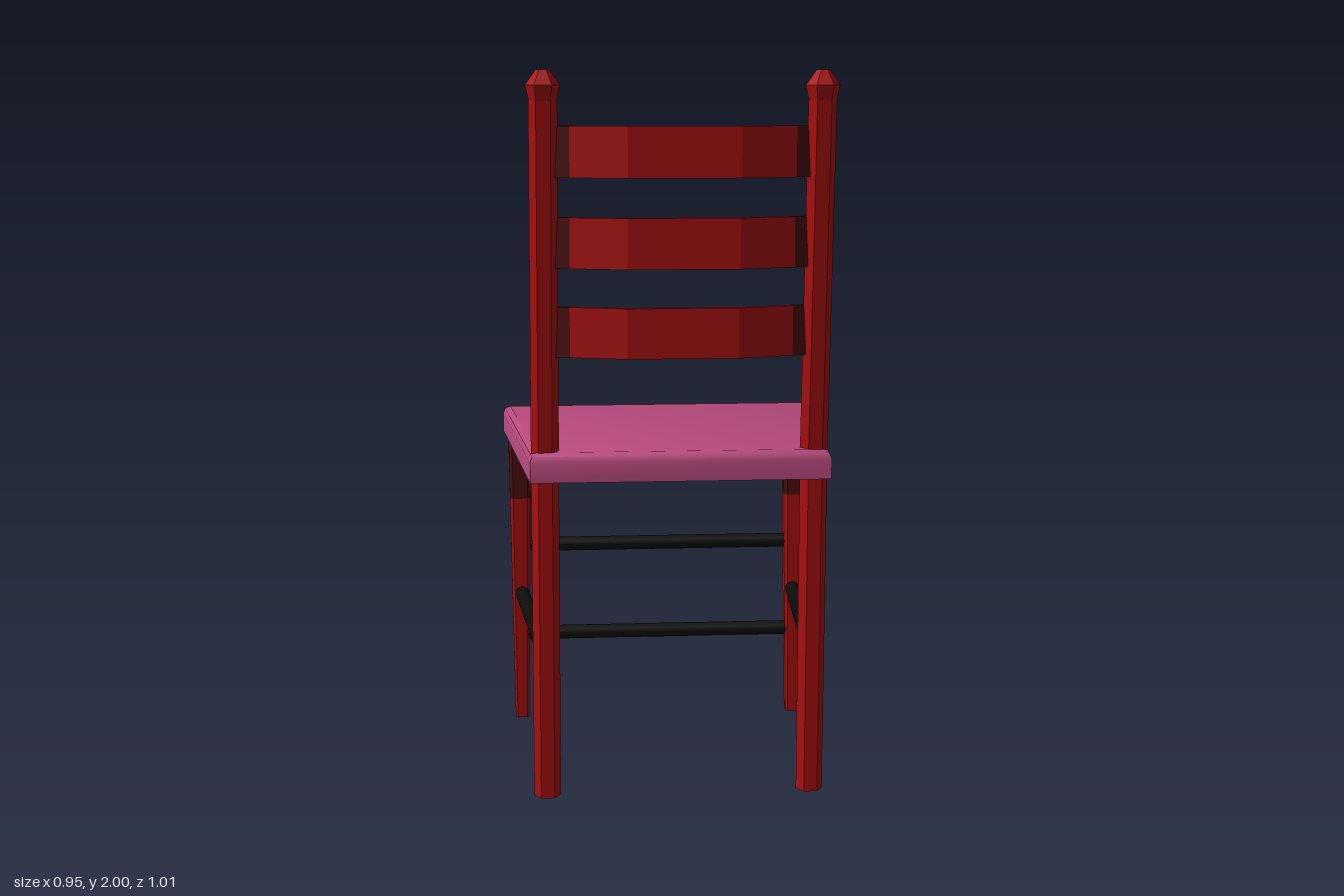
import * as THREE from 'three';
import { toCreasedNormals } from 'three/addons/utils/BufferGeometryUtils.js';

const mat = (name, color) => {
  const m = new THREE.MeshStandardMaterial({ color });
  m.name = name;
  return m;
};

// Closed solid through rings of [x, y, z] corners, listed bottom to top,
// each ring counter-clockwise seen from above.
function loft(rings) {
  const pos = [];
  const tri = (a, b, c) => pos.push(...a, ...b, ...c);
  const n = rings[0].length;
  for (let r = 0; r < rings.length - 1; r++) {
    const lo = rings[r], hi = rings[r + 1];
    for (let i = 0; i < n; i++) {
      const j = (i + 1) % n;
      tri(lo[i], lo[j], hi[j]);
      tri(lo[i], hi[j], hi[i]);
    }
  }
  const bottom = rings[0], top = rings[rings.length - 1];
  for (let i = 1; i < n - 1; i++) {
    tri(top[0], top[i], top[i + 1]);
    tri(bottom[0], bottom[i + 1], bottom[i]);
  }
  const g = new THREE.BufferGeometry();
  g.setAttribute('position', new THREE.Float32BufferAttribute(pos, 3));
  g.computeVertexNormals();
  return g;
}

// Hexagon with corners pointing sideways
const hexRing = (x, y, z, r) => Array.from({ length: 6 }, (_, i) => {
  const a = (i * Math.PI) / 3;
  return [x + r * Math.cos(a), y, z - r * Math.sin(a)];
});

// Square of half-width h with small chamfered corners
const squareRing = (x, y, z, h) => {
  const c = h * 0.7;
  return [[h, c], [c, h], [-c, h], [-h, c], [-h, -c], [-c, -h], [c, -h], [h, -c]]
    .map(([u, v]) => [x + u, y, z - v]);
};

// Seat outline, wider at -z, inset by d
const seatRing = (y, d) => [
  [0.475 - d, y, -0.505 + d], [-0.475 + d, y, -0.505 + d],
  [-0.41 + d, y, 0.405 - d], [0.41 - d, y, 0.405 - d],
];

export function createModel() {
  const group = new THREE.Group();
  group.name = 'chair';
  const red = mat('red paint', 0xa81010);
  const darkRed = mat('dark red joints', 0x4c0c0c);
  const black = mat('black rungs', 0x0c0c0c);
  const pink = mat('pink seat', 0xb84a7e);

  const add = (name, geometry, material) => {
    const m = new THREE.Mesh(geometry, material);
    m.name = name;
    group.add(m);
    return m;
  };

  // Round rung between two points
  const rung = (name, a, b) => {
    const from = new THREE.Vector3(...a), to = new THREE.Vector3(...b);
    const m = add(name, new THREE.CylinderGeometry(0.022, 0.022, from.distanceTo(to), 12), black);
    m.position.copy(from).lerp(to, 0.5);
    m.quaternion.setFromUnitVectors(new THREE.Vector3(0, 1, 0), to.sub(from).normalize());
  };

  // Seat with a softened top edge
  add('seat', toCreasedNormals(loft([
    seatRing(0.9, 0), seatRing(0.955, 0), seatRing(0.971, 0.006), seatRing(0.98, 0.022),
  ]), 0.75), pink);

  for (const s of [1, -1]) {
    const side = s > 0 ? 'left' : 'right';

    // Back post: upright below the seat, leaning back above it
    const px = 0.368 * s;
    add(side + 'BackPost', loft([
      hexRing(px, 0, 0.324, 0.037), hexRing(px, 0.98, 0.352, 0.038), hexRing(px, 1.92, 0.449, 0.038),
    ]), red);
    add(side + 'Finial', loft([
      hexRing(px, 1.91, 0.449, 0.034), hexRing(px, 1.96, 0.452, 0.046), hexRing(px, 2, 0.454, 0.018),
    ]), red);

    // Front leg: tapered, with a darker top block
    const lx = 0.426 * s, lz = -0.45;
    add(side + 'FrontLeg', loft([squareRing(lx, 0, lz, 0.021), squareRing(lx, 0.7, lz, 0.032)]), red);
    add(side + 'FrontLegTop', loft([squareRing(lx, 0.7, lz, 0.032), squareRing(lx, 0.905, lz, 0.035)]), darkRed);

    rung(side + 'SideRung', [0.37 * s, 0.4, 0.335], [0.424 * s, 0.4, -0.45]);
  }

  // Rungs between the front legs
  for (const [name, y] of [['upperFrontRung', 0.55], ['lowerFrontRung', 0.268]])
    rung(name, [-0.425, y, -0.45], [0.425, y, -0.45]);

  // Back slats, bowed backwards, with darker ends at the posts
  const strip = (path) => {
    const t = 0.0125;
    const outline = [
      ...path.map(([x, z]) => new THREE.Vector2(x, -z - t)),
      ...path.slice().reverse().map(([x, z]) => new THREE.Vector2(x, -z + t)),
    ];
    return new THREE.ExtrudeGeometry(new THREE.Shape(outline), { depth: 0.135, bevelEnabled: false })
      .rotateX(-Math.PI / 2);
  };
  const bow = (x) => -Math.max(0, Math.abs(x) - 0.15) * 0.335;
  const along = (...xs) => strip(xs.map((x) => [x, bow(x)]));
  const names = ['lower', 'middle', 'upper'];
  names.forEach((name, i) => {
    const parts = [
      add(name + 'Slat', along(-0.3, -0.15, 0.15, 0.3), red),
      add(name + 'SlatLeftEnd', along(0.3, 0.36), darkRed),
      add(name + 'SlatRightEnd', along(-0.36, -0.3), darkRed),
    ];
    for (const p of parts) p.position.set(0, 1.24 + 0.24 * i, 0.4425 + 0.025 * i);
  });

  return group;
}
